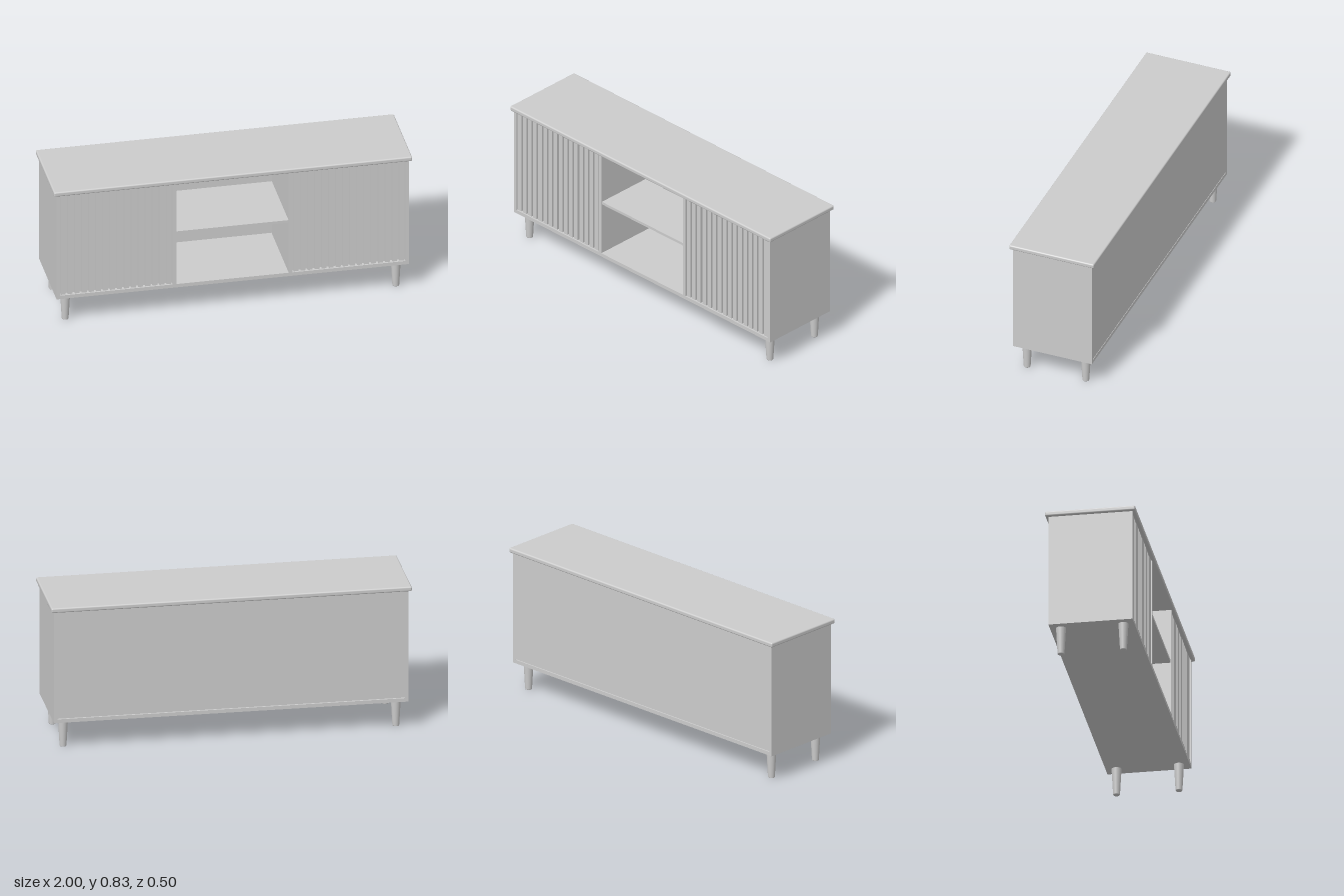
import * as THREE from 'three';
import { RoundedBoxGeometry } from 'three/addons/geometries/RoundedBoxGeometry.js';

export function createModel() {
  const model = new THREE.Group();
  model.name = 'mediaCabinet';
  const grey = new THREE.MeshStandardMaterial({ color: 0xcccccc });
  grey.name = 'paleGrey';

  const add = (name, geometry, parent = model) => {
    const mesh = new THREE.Mesh(geometry, grey);
    mesh.name = name;
    parent.add(mesh);
    return mesh;
  };
  // Box given by its lower and upper limits on each axis
  const box = (name, [x0, x1], [y0, y1], [z0, z1], parent) => {
    const mesh = add(name, new THREE.BoxGeometry(x1 - x0, y1 - y0, z1 - z0), parent);
    mesh.position.set((x0 + x1) / 2, (y0 + y1) / 2, (z0 + z1) / 2);
    return mesh;
  };

  const base = 0.157, floor = 0.178, roof = 0.806;
  const outer = 0.983, inner = 0.965, front = 0.233, back = 0.221;

  // Top slab with softened edges
  add('tabletop', new RoundedBoxGeometry(2, 0.027, 0.5, 4, 0.008)).position.y = 0.8195;

  // Carcass: floor, back with a thin seam above the floor, and open shelf
  box('floorPanel', [-inner, inner], [base, floor], [-front, front]);
  box('backPanel', [-inner, inner], [floor + 0.004, roof], [-front, -back]);
  box('shelf', [-0.313, 0.313], [0.488, 0.504], [-back, 0.228]);

  // Leg outline, tapering down to a rounded foot
  const legProfile = [[0, 0], [0.015, 0], [0.0175, 0.001], [0.019, 0.004],
    [0.0275, base]].map(([r, y]) => new THREE.Vector2(r, y));
  const legGeometry = new THREE.LatheGeometry(legProfile, 32);

  for (const side of [-1, 1]) {
    const span = (a, b) => (side > 0 ? [a, b] : [-b, -a]);
    const label = side > 0 ? 'left' : 'right';
    box(label + 'SidePanel', span(inner, outer), [base, roof], [-front, front]);
    box(label + 'Divider', span(0.313, 0.335), [floor, roof], [-back, front]);

    // Slatted door
    const door = new THREE.Group();
    door.name = label + 'Door';
    model.add(door);
    box('doorBacking', span(0.335, inner), [floor, roof], [0.195, 0.207], door);
    const count = 16, pitch = (inner - 0.335) / count;
    for (let i = 0; i < count; i++) {
      const x = 0.335 + (i + 0.5) * pitch;
      box('slat', span(x - 0.0135, x + 0.0135), [floor + 0.003, roof - 0.003], [0.207, 0.229], door);
    }

    for (const end of [-1, 1]) {
      add(label + (end > 0 ? 'FrontLeg' : 'BackLeg'), legGeometry)
        .position.set(side * 0.923, 0, end * 0.173);
    }
  }
  return model;
}
